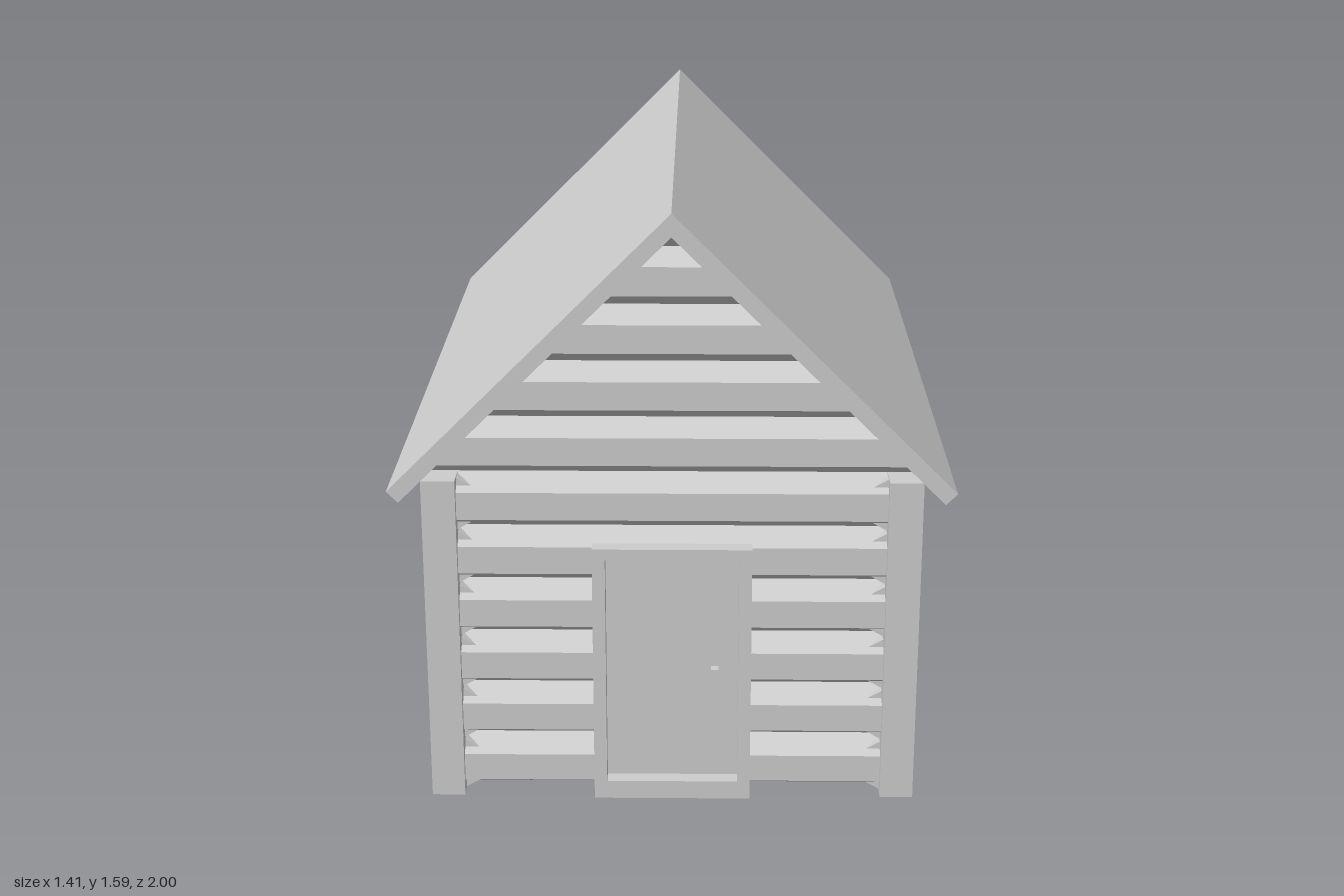
import * as THREE from 'three';

const mat = new THREE.MeshStandardMaterial({ color: 0xcccccc, flatShading: true });
const R = 0.0735, PITCH = 2 * R, HALF = R * Math.cos(Math.PI / 6); // hexagonal log
const EAVE = 6 * PITCH, UNDER = 1.53; // wall top, underside of the ridge

function add(parent, name, geo, x = 0, y = 0, z = 0) {
  const m = new THREE.Mesh(geo, mat);
  m.name = name;
  m.position.set(x, y, z);
  parent.add(m);
  return m;
}

// Log along x, its section cut to heights lo..hi; a(y) and b(y) give the two ends
function addLog(parent, row, lo, hi, a, b) {
  const y0 = row * PITCH;
  lo = Math.max(lo, y0);
  hi = Math.min(hi, y0 + PITCH);
  if (hi - lo < 0.003) return;
  const width = y => HALF * Math.max(0, Math.min(1, (y - y0) / (R / 2), (y0 + PITCH - y) / (R / 2)));
  const ys = [lo, y0 + R / 2, y0 + 1.5 * R, hi].filter((y, i) => i === 0 || i === 3 || (y > lo + 1e-4 && y < hi - 1e-4));
  const pts = [];
  ys.forEach(y => pts.push(new THREE.Vector2(width(y), y)));
  ys.slice().reverse().forEach(y => { if (width(y) > 1e-4) pts.push(new THREE.Vector2(-width(y), y)); });
  const geo = new THREE.ExtrudeGeometry(new THREE.Shape(pts), { depth: 1, bevelEnabled: false });
  const p = geo.attributes.position;
  for (let i = 0; i < p.count; i++) {
    const x = p.getX(i), y = p.getY(i);
    p.setXYZ(i, p.getZ(i) < 0.5 ? a(y) : b(y), y, -x);
  }
  geo.computeVertexNormals();
  add(parent, 'log', geo);
}

// Stacked logs, interrupted at openings { x, w, y0, y1 }
function addLogs(parent, half, openings) {
  for (let row = 0; row < 6; row++) {
    const lo = row * PITCH, hi = lo + PITCH;
    const span = (l, h, a, b) => addLog(parent, row, l, h, () => a, () => b);
    let start = -half;
    for (const o of openings.filter(o => o.y0 < hi && o.y1 > lo)) {
      const l = o.x - o.w / 2, r = o.x + o.w / 2;
      span(lo, hi, start, l);
      span(lo, o.y0, l, r);
      span(o.y1, hi, l, r);
      start = r;
    }
    span(lo, hi, start, half);
  }
}

// Gable logs with ends sloping under the roof
function addGable(parent) {
  const end = y => Math.max(0, Math.min(0.615, UNDER - y));
  for (let row = 6; row < 11; row++) addLog(parent, row, 0, UNDER, y => -end(y), end);
}

// Rectangular frame through the wall with a recessed panel
function addFramed(parent, name, o, side, bottom, top, back, front, recess) {
  const g = new THREE.Group();
  g.name = name;
  parent.add(g);
  const w = o.w / 2, iw = w - side, b = o.y0 + bottom, t = o.y1 - top;
  const rect = (C, hw, y0, y1) => new C([[-hw, y0], [hw, y0], [hw, y1], [-hw, y1]].map(p => new THREE.Vector2(...p)));
  const shape = rect(THREE.Shape, w, o.y0, o.y1);
  shape.holes.push(rect(THREE.Path, iw, b, t));
  add(g, name + 'Frame', new THREE.ExtrudeGeometry(shape, { depth: front - back, bevelEnabled: false }), o.x, 0, back);
  const depth = front - back - 2 * recess;
  add(g, name + 'Panel', new THREE.BoxGeometry(iw * 2, t - b, depth), o.x, (b + t) / 2, (front + back) / 2);
  return g;
}

export function createModel() {
  const cabin = new THREE.Group();
  cabin.name = 'logCabin';
  const wall = (name, x, z, turn) => {
    const g = new THREE.Group();
    g.name = name;
    g.position.set(x, 0, z);
    g.rotation.y = turn;
    cabin.add(g);
    return g;
  };

  // Front wall with door and knob
  const doorway = { x: 0, w: 0.406, y0: 0, y1: 0.705 };
  const front = wall('frontWall', 0, 0.8465, 0);
  addLogs(front, 0.6, [doorway]);
  addGable(front);
  const door = addFramed(front, 'door', doorway, 0.033, 0.05, 0.03, -0.09, 0.0935, 0.04);
  add(door, 'doorKnob', new THREE.BoxGeometry(0.02, 0.02, 0.025), 0.11, 0.354, 0.064);

  // Back wall
  const back = wall('backWall', 0, -0.8465, Math.PI);
  addLogs(back, 0.6, []);
  addGable(back);

  // Side walls with windows
  const sides = [
    ['leftWall', 1, [{ x: -0.302, w: 0.295, y0: 0.482, y1: 0.702 }]],
    ['rightWall', -1, [-0.3, 0.44].map(x => ({ x, w: 0.32, y0: 0.472, y1: 0.712 }))],
  ];
  for (const [name, s, windows] of sides) {
    const g = wall(name, s * 0.5515, 0, s * Math.PI / 2);
    addLogs(g, 0.89, windows);
    for (const o of windows) addFramed(g, 'window', o, 0.027, 0.02, 0.02, -0.08, 0.075, 0.035);
  }

  // Corner posts
  for (const x of [-1, 1]) for (const z of [-1, 1])
    add(cabin, 'cornerPost', new THREE.BoxGeometry(0.086, EAVE, 0.086), x * 0.588, EAVE / 2, z * 0.884);

  // Pitched roof
  const roof = new THREE.Shape([[0, 1.588], [-0.706, 0.882], [-0.677, 0.853], [0, UNDER], [0.677, 0.853], [0.706, 0.882]]
    .map(p => new THREE.Vector2(...p)));
  add(cabin, 'roof', new THREE.ExtrudeGeometry(roof, { depth: 2, bevelEnabled: false }), 0, 0, -1);

  return cabin;
}
